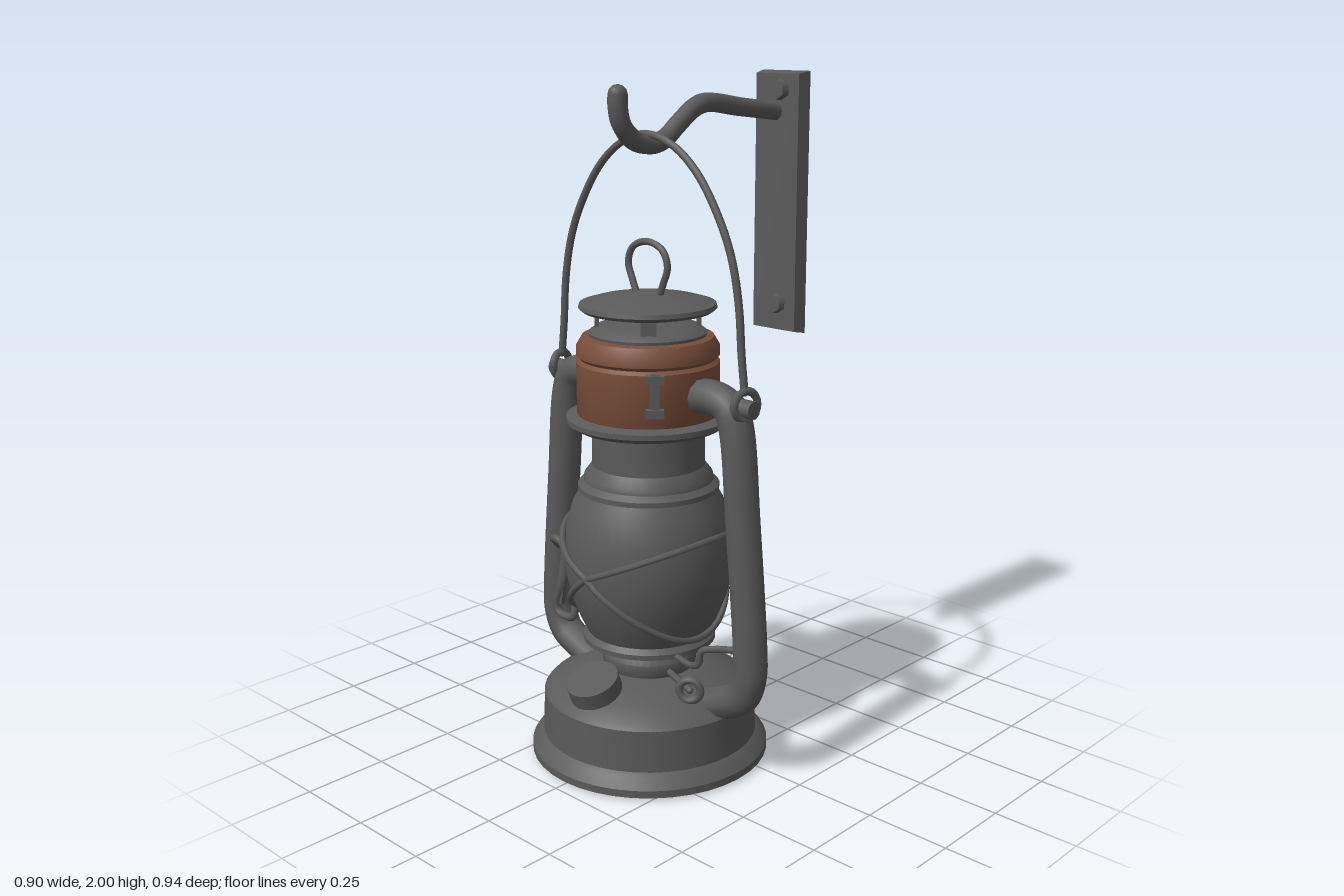
import * as THREE from 'three';
import { toCreasedNormals } from 'three/addons/utils/BufferGeometryUtils.js';

const iron = new THREE.MeshStandardMaterial({ color: 0x5a5a5a });
iron.name = 'dark iron';
const copper = new THREE.MeshStandardMaterial({ color: 0x7a4e3a });
copper.name = 'aged copper';

const v = (p) => new THREE.Vector3(...p);

function add(parent, name, geometry, material = iron, position = [0, 0, 0], rotation = [0, 0, 0]) {
  const mesh = new THREE.Mesh(geometry, material);
  mesh.name = name;
  mesh.position.set(...position);
  mesh.rotation.set(...rotation);
  parent.add(mesh);
  return mesh;
}

// Turned part from [radius, height] pairs, bottom to top
function turned(parent, name, profile, material = iron) {
  const g = new THREE.LatheGeometry(profile.map(([r, y]) => new THREE.Vector2(r, y)), 40);
  return add(parent, name, toCreasedNormals(g, 0.6), material);
}

// Round bar along a smooth path, with rounded ends
function rod(parent, name, points, radius, sides = 8, segments = 48) {
  const group = new THREE.Group();
  group.name = name;
  const curve = new THREE.CatmullRomCurve3(points.map(v), false, 'centripetal');
  add(group, name + 'Bar', new THREE.TubeGeometry(curve, segments, radius, sides));
  for (const p of [points[0], points[points.length - 1]]) {
    add(group, name + 'End', new THREE.SphereGeometry(radius, sides, 6), iron, p);
  }
  parent.add(group);
  return group;
}

// Globe outline, shared by the glass and the guard wires
const globe = [[0.185, 0.39], [0.205, 0.43], [0.232, 0.5], [0.247, 0.57], [0.25, 0.64],
  [0.243, 0.71], [0.225, 0.78], [0.195, 0.835]];

function globeRadius(y) {
  for (let i = 1; i < globe.length; i++) {
    const [r0, y0] = globe[i - 1], [r1, y1] = globe[i];
    if (y <= y1) return r0 + (r1 - r0) * Math.max(0, (y - y0) / (y1 - y0));
  }
  return globe[globe.length - 1][0];
}

function buildBody(lamp) {
  turned(lamp, 'fuelTank', [[0, 0.012], [0.33, 0.012], [0.34, 0], [0.357, 0.008], [0.357, 0.03], [0.335, 0.06],
    [0.322, 0.07], [0.318, 0.195], [0.305, 0.21], [0.25, 0.235], [0.19, 0.265], [0.13, 0.275]]);
  turned(lamp, 'burner', [[0.125, 0.26], [0.14, 0.285], [0.14, 0.315], [0.12, 0.345], [0.11, 0.365],
    [0.18, 0.355], [0.198, 0.36], [0.198, 0.375], [0.18, 0.395], [0, 0.395]]);
  turned(lamp, 'globe', globe);
  turned(lamp, 'chimney', [[0.19, 0.82], [0.207, 0.825], [0.207, 0.84], [0.19, 0.855], [0.188, 0.87],
    [0.165, 0.9], [0.163, 1.02], [0.215, 1.015], [0.238, 1.03], [0.238, 1.045], [0.2, 1.055]]);
  turned(lamp, 'copperHood', [[0.2, 1.045], [0.206, 1.055], [0.206, 1.205], [0.196, 1.215], [0.206, 1.225],
    [0.206, 1.25], [0.19, 1.278], [0.15, 1.285]], copper);
  turned(lamp, 'hoodTop', [[0.168, 1.275], [0.17, 1.29], [0.15, 1.305], [0.1, 1.312], [0, 1.315]]);

  // Vented cap on four posts
  for (let i = 0; i < 4; i++) {
    const a = Math.PI / 4 + i * Math.PI / 2;
    add(lamp, 'capPost', new THREE.BoxGeometry(0.045, 0.06, 0.012), iron,
      [0.145 * Math.sin(a), 1.325, 0.145 * Math.cos(a)], [0, a, 0]);
  }
  turned(lamp, 'ventCap', [[0, 1.34], [0.14, 1.34], [0.185, 1.35], [0.198, 1.36], [0.195, 1.372],
    [0.15, 1.385], [0.07, 1.398], [0.025, 1.402], [0, 1.403]]);
  rod(lamp, 'liftRing', [[-0.045, 1.395, 0], [-0.06, 1.43, 0], [-0.077, 1.48, 0], [-0.058, 1.525, 0], [0, 1.545, 0],
    [0.058, 1.525, 0], [0.077, 1.48, 0], [0.06, 1.43, 0], [0.045, 1.395, 0]], 0.01, 8);

  // Fuel filler cap leaning forward
  const filler = new THREE.Group();
  filler.name = 'fillerCap';
  filler.position.set(0.01, 0.262, 0.235);
  filler.rotation.x = 0.36;
  add(filler, 'fillerNeck', new THREE.CylinderGeometry(0.058, 0.058, 0.1, 20), iron, [0, -0.04, 0]);
  add(filler, 'fillerLid', new THREE.CylinderGeometry(0.078, 0.078, 0.05, 20), iron, [0, 0.015, 0]);
  lamp.add(filler);
}

// Two tilted wire loops crossing at the front and back of the globe
function buildGuard(lamp) {
  for (const side of [-1, 1]) {
    const points = [];
    for (let i = 0; i < 40; i++) {
      const a = i / 40 * Math.PI * 2;
      const s = side * Math.sin(a);
      const y = 0.605 + s * (s > 0 ? 0.115 : 0.2);
      const r = globeRadius(y) + 0.009;
      points.push(new THREE.Vector3(r * Math.sin(a), y, r * Math.cos(a)));
    }
    const curve = new THREE.CatmullRomCurve3(points, true);
    add(lamp, 'guardWire', new THREE.TubeGeometry(curve, 80, 0.01, 6, true));
  }
}

// Side tubes, bail lugs and bail eyes, mirrored
function buildFrame(lamp) {
  for (const s of [-1, 1]) {
    rod(lamp, 'sideTube', [[0.17, 1.13, 0], [0.26, 1.135, 0], [0.315, 1.115, 0], [0.338, 1.06, 0], [0.365, 0.8, 0],
      [0.398, 0.42, 0], [0.398, 0.34, 0], [0.37, 0.275, 0], [0.31, 0.24, 0], [0.2, 0.2, 0]]
      .map(([x, y, z]) => [s * x, y, z]), 0.05, 10, 64);
    add(lamp, 'bailLug', new THREE.CylinderGeometry(0.026, 0.026, 0.09, 10), iron,
      [s * 0.355, 1.125, 0], [0, 0, Math.PI / 2]);
    add(lamp, 'bailEye', new THREE.TorusGeometry(0.04, 0.012, 6, 20), iron,
      [s * 0.37, 1.135, 0], [0, Math.PI / 2 - s * 0.2, 0]);
  }
  const half = [[0.365, 1.17], [0.353, 1.27], [0.342, 1.4], [0.317, 1.52], [0.275, 1.62], [0.19, 1.745], [0.1, 1.815]];
  rod(lamp, 'bail', [...half.map(([x, y]) => [-x, y, 0]), [0, 1.842, 0],
    ...half.slice().reverse().map(([x, y]) => [x, y, 0])], 0.011, 8, 72);
}

function buildFittings(lamp) {
  // Globe lifting lever on the right tube
  rod(lamp, 'liftLever', [[-0.35, 0.57, 0.04], [-0.345, 0.6, 0.07], [-0.29, 0.595, 0.08], [-0.285, 0.5, 0.08],
    [-0.325, 0.39, 0.08], [-0.31, 0.365, 0.08], [-0.25, 0.37, 0.08], [-0.25, 0.43, 0.07]], 0.013, 6);
  add(lamp, 'leverPlate', new THREE.BoxGeometry(0.03, 0.17, 0.014), iron, [-0.3, 0.48, 0.075], [0, 0, -0.2]);
  // Bent wire linking the burner to the left tube
  rod(lamp, 'burnerWire', [[0.17, 0.365, 0.07], [0.25, 0.36, 0.08], [0.275, 0.375, 0.08], [0.285, 0.415, 0.08],
    [0.32, 0.425, 0.06], [0.38, 0.425, 0.02]], 0.01, 6);
  // Wick adjuster
  rod(lamp, 'wickStem', [[0.1, 0.295, 0.04], [0.24, 0.28, 0.08]], 0.011, 6, 4);
  add(lamp, 'wickKnob', new THREE.TorusGeometry(0.032, 0.012, 6, 16), iron, [0.24, 0.28, 0.08], [0, 0.5, 0]);
  // Hood latch
  const latch = new THREE.Group();
  latch.name = 'hoodLatch';
  latch.rotation.y = 0.86;
  add(latch, 'latchStrap', new THREE.BoxGeometry(0.025, 0.12, 0.016), iron, [0, 1.15, 0.21]);
  for (const y of [1.1, 1.195]) {
    add(latch, 'latchTab', new THREE.BoxGeometry(0.05, 0.025, 0.025), iron, [0, y, 0.212]);
  }
  lamp.add(latch);
}

// Bevelled wall plate, bolts and hooked arm
function buildBracket(parent) {
  const bracket = new THREE.Group();
  bracket.name = 'wallBracket';
  const plate = new THREE.BoxGeometry(0.182, 0.79, 0.042);
  const pos = plate.attributes.position;
  for (let i = 0; i < pos.count; i++) {
    if (pos.getZ(i) > 0) pos.setXY(i, pos.getX(i) * 0.9, pos.getY(i) * 0.98);
  }
  plate.computeVertexNormals();
  add(bracket, 'wallPlate', plate, iron, [0.013, 1.605, -0.455]);
  for (const y of [1.945, 1.3]) {
    add(bracket, 'plateBolt', new THREE.CylinderGeometry(0.028, 0.032, 0.03, 6).toNonIndexed(), iron,
      [0.028, y, -0.425], [Math.PI / 2, 0, 0]);
  }
  rod(bracket, 'hookArm', [[0.005, 1.88, -0.45], [0, 1.9, -0.28], [0, 1.918, -0.13], [0, 1.905, -0.08],
    [0, 1.86, -0.01], [0, 1.825, 0.04], [0, 1.813, 0.1], [0, 1.83, 0.165], [0, 1.875, 0.21], [0, 1.92, 0.222],
    [0, 1.952, 0.222]], 0.028, 10, 64);
  parent.add(bracket);
}

export function createModel() {
  const model = new THREE.Group();
  model.name = 'hangingLantern';
  const lamp = new THREE.Group();
  lamp.name = 'lantern';
  lamp.position.z = 0.11;
  buildBody(lamp);
  buildGuard(lamp);
  buildFrame(lamp);
  buildFittings(lamp);
  model.add(lamp);
  buildBracket(model);
  return model;
}
